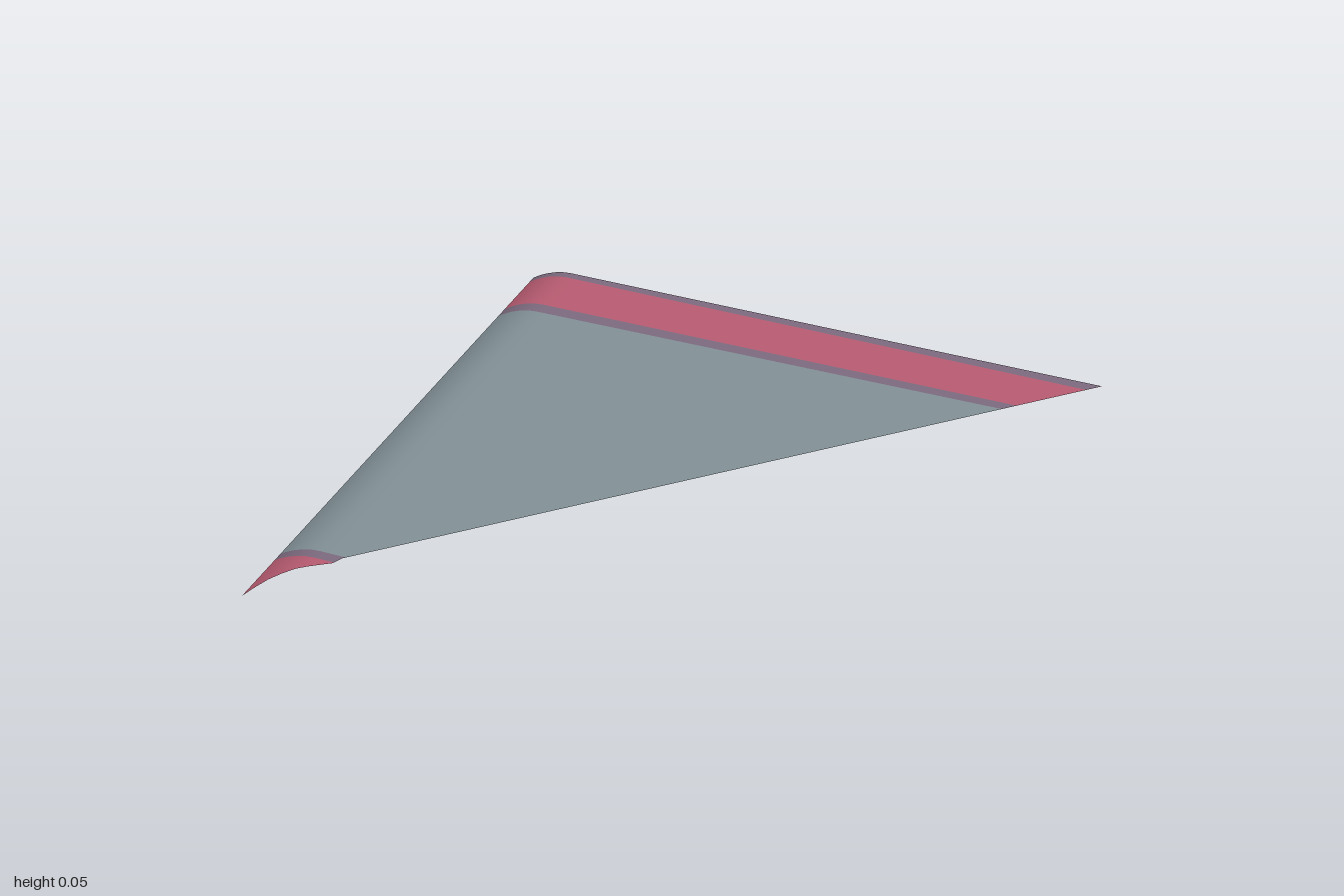
import * as THREE from 'three';

const material = (name, color) => {
  const m = new THREE.MeshStandardMaterial({ color, side: THREE.DoubleSide });
  m.name = name;
  return m;
};

// Piecewise linear lookup through [x, value] points
const along = (points) => (x) => {
  if (x <= points[0][0]) return points[0][1];
  for (let i = 1; i < points.length; i++) {
    const [x0, v0] = points[i - 1];
    const [x1, v1] = points[i];
    if (x <= x1) return v0 + ((v1 - v0) * (x - x0)) / (x1 - x0);
  }
  return points[points.length - 1][1];
};

// Rolled-down long edge, flat elsewhere
const roll = along([[-1, 0], [-0.975, 0.015], [-0.95, 0.027], [-0.92, 0.038], [-0.89, 0.045], [-0.86, 0.0475], [1, 0.0475]]);
const height = (x, z) => roll(x) * (1 - 0.03 * z);

// Slanted front outline, ending in a curved tip
const outline = along([[-1, 1], [-0.95, 0.93], [-0.89, 0.873], [-0.8, 0.808], [-0.785, 0.775], [1, -1]]);

// Limits between the coloured bands, from back to front
const line = (left, right) => along([[-1, left], [1, right]]);
const limits = [line(-1, -1), line(-0.97, -0.96), line(-0.775, -0.787), line(-0.725, -0.752), line(0.768, 0.768), line(0.804, 0.804), line(1, 1)];

const stations = [-1, -0.975, -0.95, -0.92, -0.89, -0.86, -0.83, -0.8, -0.797, -0.785, -0.777, -0.768,
  -0.4, 0, 0.4, 0.747, 0.783, 0.96, 1];

// Sheet strip between two limits, clipped by the outline
function bandGeometry(back, front) {
  const positions = [];
  const index = [];
  const steps = 4;
  const row = steps + 1;
  stations.forEach((x) => {
    const z0 = Math.min(back(x), outline(x));
    const z1 = Math.min(front(x), outline(x));
    for (let j = 0; j <= steps; j++) {
      const z = z0 + ((z1 - z0) * j) / steps;
      positions.push(x, height(x, z), z);
    }
  });
  const depth = (i) => positions[(i * row + steps) * 3 + 2] - positions[i * row * 3 + 2];
  for (let i = 0; i < stations.length - 1; i++) {
    for (let j = 0; j < steps; j++) {
      const a = i * row + j;
      const b = a + row;
      if (depth(i) > 1e-5) index.push(a, a + 1, b);
      if (depth(i + 1) > 1e-5) index.push(b, a + 1, b + 1);
    }
  }
  const geometry = new THREE.BufferGeometry();
  geometry.setAttribute('position', new THREE.Float32BufferAttribute(positions, 3));
  geometry.setIndex(index);
  geometry.computeVertexNormals();
  return geometry;
}

export function createModel() {
  const slate = material('slate', 0x829197);
  const red = material('rose red', 0xb95c72);
  const purple = material('dusty purple', 0x7d6b7f);

  const model = new THREE.Group();
  model.name = 'triangularPanel';
  const bands = [
    ['rearTrim', purple], ['rearStripe', red], ['rearStripeTrim', purple],
    ['mainPanel', slate], ['tipTrim', purple], ['frontTip', red],
  ];
  bands.forEach(([name, mat], i) => {
    const mesh = new THREE.Mesh(bandGeometry(limits[i], limits[i + 1]), mat);
    mesh.name = name;
    model.add(mesh);
  });
  return model;
}
